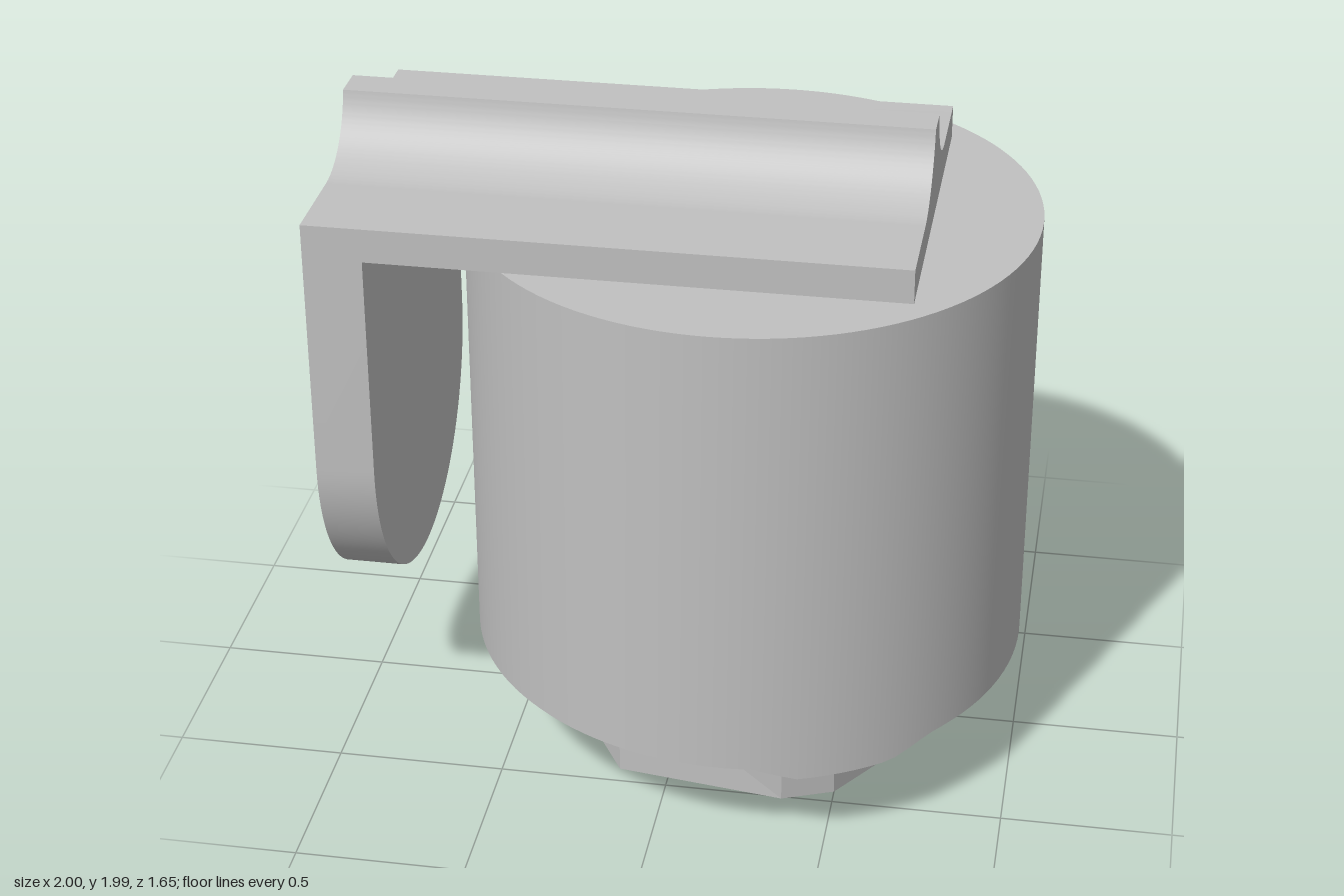
import * as THREE from 'three';
import { toCreasedNormals } from 'three/addons/utils/BufferGeometryUtils.js';

const CENTRE_X = 0.175;

// Extrudes a (z, y) outline along x, from x0 to x1
function extrudeAlongX(shape, x0, x1) {
  const geo = new THREE.ExtrudeGeometry(shape, { depth: x1 - x0, bevelEnabled: false, curveSegments: 24 });
  geo.rotateY(Math.PI / 2);
  geo.translate(x0, 0, 0);
  return toCreasedNormals(geo, 0.5);
}

// Depth of the lip below the drum's rim, by angle from +x towards +z
const LIP = [[-20, 0], [38, 0.012], [43, 0.016], [52, 0.056], [72, 0.058], [81, 0.018], [130, 0]];
function lipDepth(angle) {
  for (let i = 1; i < LIP.length; i++) {
    const [a0, d0] = LIP[i - 1], [a1, d1] = LIP[i];
    if (angle >= a0 && angle <= a1) return d0 + (d1 - d0) * (angle - a0) / (a1 - a0);
  }
  return 0;
}

export function createModel() {
  const group = new THREE.Group();
  const grey = new THREE.MeshStandardMaterial({ color: 0xc0c0c0 });
  grey.name = 'plain grey';
  const add = (name, geo) => {
    const mesh = new THREE.Mesh(geo, grey);
    mesh.name = name;
    group.add(mesh);
  };

  // Drum with a shallow lip hanging from its rim
  const drum = new THREE.CylinderGeometry(0.825, 0.825, 1.365, 120);
  drum.translate(0, 0.335 + 1.365 / 2, 0);
  const p = drum.attributes.position;
  for (let i = 0; i < p.count; i++) {
    if (p.getY(i) > 0.4 || Math.hypot(p.getX(i), p.getZ(i)) < 0.1) continue;
    const angle = THREE.MathUtils.radToDeg(Math.atan2(p.getZ(i), p.getX(i)));
    p.setY(i, p.getY(i) - lipDepth(angle));
  }
  drum.translate(CENTRE_X, 0, 0);
  add('drum', toCreasedNormals(drum, 0.5));

  // Faceted foot, flaring slightly at the front
  const outline = [
    [0.70, 0.16], [0.72, -0.06], [0.46, -0.44], [0, -0.51], [-0.15, -0.45],
    [-0.35, -0.16], [-0.37, 0.07], [-0.15, 0.44], [0.35, 0.51], [0.50, 0.45],
  ];
  const footShape = new THREE.Shape(outline.map(([x, z]) => new THREE.Vector2(x, -z)));
  const foot = new THREE.ExtrudeGeometry(footShape, { depth: 0.345, bevelEnabled: false });
  foot.rotateX(-Math.PI / 2);
  const f = foot.attributes.position;
  for (let i = 0; i < f.count; i++) {
    if (f.getY(i) > 0.3 && f.getZ(i) > 0.4 && f.getX(i) > 0.2) f.setZ(i, f.getZ(i) + 0.03);
  }
  add('foot', toCreasedNormals(foot, 0.1));

  // Top plate with a central ridge and hollow fillets on both sides
  const rail = new THREE.Shape();
  rail.moveTo(-0.55, 1.70);
  rail.lineTo(0.55, 1.70);
  rail.lineTo(0.55, 1.80);
  rail.lineTo(0.28, 1.80);
  const tilt = Math.asin(0.04 / 0.23);
  rail.absarc(0.28, 2.03, 0.23, Math.PI * 1.5, Math.PI + tilt, true);
  rail.absarc(-0.28, 2.03, 0.23, -tilt, -Math.PI / 2, true);
  rail.lineTo(-0.55, 1.80);
  rail.closePath();
  add('ridgedTopPlate', extrudeAlongX(rail, -1, 0.69));

  // Hanging arm with a round lower end
  const arm = new THREE.Shape();
  arm.moveTo(0.55, 1.70);
  arm.lineTo(-0.55, 1.70);
  arm.lineTo(-0.55, 1.03);
  arm.absarc(0, 1.03, 0.55, Math.PI, Math.PI * 2, false);
  arm.closePath();
  add('hangingArm', extrudeAlongX(arm, -1, -0.83));

  return group;
}
